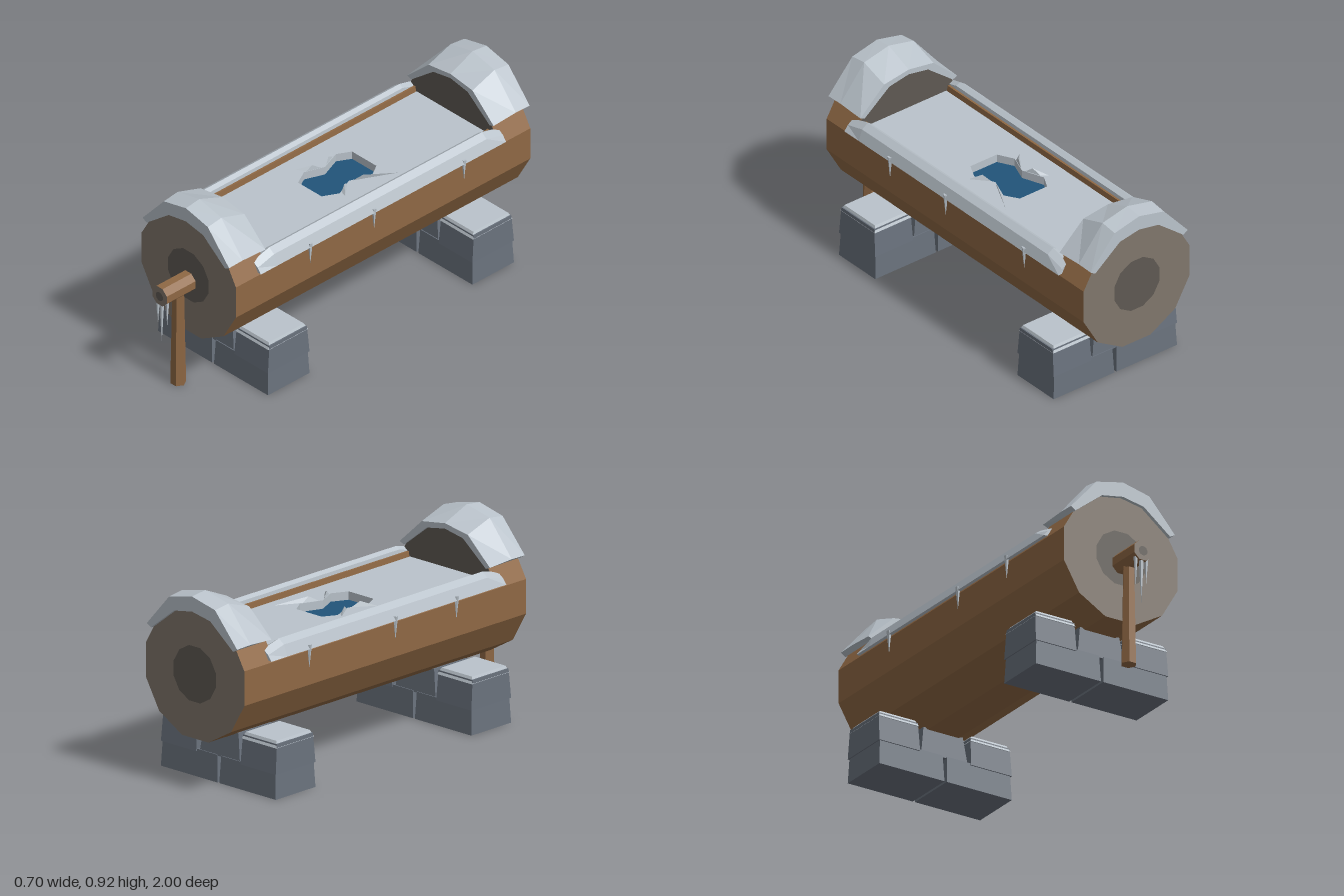
import * as THREE from 'three';
import { ConvexGeometry } from 'three/addons/geometries/ConvexGeometry.js';

const mat = (name, color) => {
  const m = new THREE.MeshStandardMaterial({ color });
  m.name = name;
  return m;
};

// Facet a geometry with flat normals
function flat(geo) {
  const g = geo.index ? geo.toNonIndexed() : geo;
  g.computeVertexNormals();
  return g;
}

// Closed solid through matching cross-sections (counter-clockwise, increasing z)
function loft(sections) {
  const n = sections[0].length, pos = [], idx = [];
  sections.forEach(s => s.forEach(p => pos.push(...p)));
  for (let s = 0; s < sections.length - 1; s++) {
    for (let i = 0; i < n; i++) {
      const a = s * n + i, b = s * n + (i + 1) % n;
      idx.push(a, b, b + n, a, b + n, a + n);
    }
  }
  const last = (sections.length - 1) * n;
  const tris = s => THREE.ShapeUtils.triangulateShape(s.map(p => new THREE.Vector2(p[0], p[1])), []);
  tris(sections[0]).forEach(([a, b, c]) => idx.push(a, c, b));
  tris(sections[sections.length - 1]).forEach(([a, b, c]) => idx.push(last + a, last + b, last + c));
  const g = new THREE.BufferGeometry();
  g.setAttribute('position', new THREE.Float32BufferAttribute(pos, 3));
  g.setIndex(idx);
  return flat(g);
}

// Box whose top is drawn in by tx and tz on each side
function block(x0, x1, y0, y1, z0, z1, tx, tz) {
  const g = new THREE.BoxGeometry(x1 - x0, y1 - y0, z1 - z0);
  const p = g.attributes.position;
  for (let i = 0; i < p.count; i++) {
    if (p.getY(i) > 0) {
      p.setX(i, p.getX(i) - Math.sign(p.getX(i)) * tx);
      p.setZ(i, p.getZ(i) - Math.sign(p.getZ(i)) * tz);
    }
  }
  g.translate((x0 + x1) / 2, (y0 + y1) / 2, (z0 + z1) / 2);
  return flat(g);
}

export function createModel() {
  const root = new THREE.Group();
  root.name = 'frozenLogTrough';
  const wood = mat('wood', 0x8f6844);
  const grain = mat('endGrain', 0x80766b);
  const heart = mat('heartwood', 0x5e5953);
  const snow = mat('snow', 0xbac3cb);
  const stone = mat('stone', 0x69717c);
  const water = mat('water', 0x21547a);
  const add = (name, geo, material, parent = root) => {
    const m = new THREE.Mesh(geo, material);
    m.name = name;
    parent.add(m);
    return m;
  };
  const shape = pts => new THREE.Shape(pts.map(p => new THREE.Vector2(p[0], p[1])));
  const icicle = (x, top, tip, z, r) => {
    const g = new THREE.ConeGeometry(r, top - tip, 5);
    g.rotateX(Math.PI);
    g.translate(x, (top + tip) / 2, z);
    add('icicle', flat(g), snow);
  };

  // Log: twelve-sided, solid at both ends, hollowed between
  const cy = 0.54, R = 0.3106;
  const ring = [];
  for (let i = 0; i < 12; i++) {
    const a = THREE.MathUtils.degToRad(15 + i * 30);
    ring.push([R * Math.cos(a), cy + R * Math.sin(a)]);
  }
  const extrude = (pts, z0, z1) => {
    const g = new THREE.ExtrudeGeometry(shape(pts), { depth: z1 - z0, bevelEnabled: false });
    g.translate(0, 0, z0);
    return g;
  };
  add('frontLogEnd', extrude(ring, 0.63, 0.82), [grain, wood]);
  add('backLogEnd', extrude(ring, -0.98, -0.79), [grain, wood]);
  const trough = [[-0.2686, 0.675], ...ring.slice(5), ring[0], [0.2686, 0.675],
    [0.23, 0.675], [0.22, 0.6], [-0.22, 0.6], [-0.23, 0.675]];
  add('troughBody', extrude(trough, -0.79, 0.63), [grain, wood]);

  // Dark heartwood on the ends and on the inner end walls
  const disc = (name, r, y, z, facing) => {
    const g = new THREE.CircleGeometry(r, 12, Math.PI / 12);
    if (facing < 0) g.rotateY(Math.PI);
    g.translate(0, y, z);
    add(name, g, heart);
  };
  disc('frontHeartwood', 0.133, cy, 0.823, 1);
  disc('backHeartwood', 0.133, cy, -0.983, -1);
  disc('frontInnerWall', R - 0.002, cy, 0.627, -1);
  disc('backInnerWall', R - 0.002, cy, -0.787, 1);

  // Snow caps over the log ends, sloping down towards the trough
  const under = [[-0.25, 0.705], [-0.11, 0.815], [0, 0.835], [0.11, 0.815], [0.25, 0.705]];
  const cap = (z, side, shoulder, top) => [[0.275, side], [0.14, shoulder], [0, top],
    [-0.14, shoulder], [-0.275, side], ...under].map(p => [...p, z]);
  add('frontSnowCap', loft([cap(0.615, 0.715, 0.838, 0.86), cap(0.755, 0.722, 0.884, 0.915),
    cap(0.838, 0.72, 0.873, 0.905)]), snow);
  add('backSnowCap', loft([cap(-1, 0.72, 0.873, 0.905), cap(-0.915, 0.722, 0.884, 0.915),
    cap(-0.78, 0.715, 0.838, 0.857)]), snow);

  // Snow along both rims, with icicles
  const rim = (z, top, side) => {
    const pts = [[0.313, 0.63], [0.293, top - 0.022], [0.262, top], [0.242, top - 0.012],
      [0.238, 0.662], [0.285, 0.632]].map(([x, y]) => [x * side, y, z]);
    return side < 0 ? pts.reverse() : pts;
  };
  for (const side of [1, -1]) {
    add(side > 0 ? 'leftRimSnow' : 'rightRimSnow', loft([rim(-0.82, 0.678, side),
      rim(-0.72, 0.704, side), rim(0.58, 0.704, side), rim(0.68, 0.678, side)]), snow);
    for (const z of [0.37, -0.02, -0.57]) icicle(side * 0.305, 0.65, 0.54, z, 0.012);
  }

  // Frozen surface with a broken hole showing the water
  const sheet = shape([[-0.223, -0.64], [0.223, -0.64], [0.223, 0.79], [-0.223, 0.79]]);
  const hole = [[-0.08, 0.255], [0.075, 0.255], [0.115, 0.19], [0.075, 0.085], [0.118, -0.01],
    [0.08, -0.085], [-0.07, -0.085], [-0.11, -0.01], [-0.075, 0.085], [-0.115, 0.19]];
  sheet.holes.push(new THREE.Path(hole.map(p => new THREE.Vector2(...p))));
  const sheetGeo = new THREE.ExtrudeGeometry(sheet, { depth: 0.055, bevelEnabled: false });
  sheetGeo.rotateX(-Math.PI / 2);
  sheetGeo.translate(0, 0.597, 0);
  add('frozenSurface', sheetGeo, snow);
  const waterGeo = new THREE.BoxGeometry(0.27, 0.008, 0.37);
  waterGeo.translate(0, 0.609, -0.085);
  add('water', waterGeo, water);

  // Lifted shards beside the hole
  const shards = [
    [[-0.078, -0.09], [-0.115, -0.18], [-0.155, -0.21], [-0.1, -0.13]],
    [[-0.078, -0.08], [-0.11, 0.005], [-0.165, 0.04], [-0.1, -0.03]],
    [[0.078, -0.09], [0.115, -0.18], [0.2, -0.33], [0.11, -0.14]],
    [[0.078, -0.08], [0.118, 0.005], [0.165, 0.02], [0.105, -0.03]],
  ];
  for (const s of shards) {
    const pts = s.map(([x, z], i) => new THREE.Vector3(x, i === 3 ? 0.676 : 0.645, z));
    add('iceShard', flat(new ConvexGeometry(pts)), snow);
  }

  // Spout, its open end and supporting post
  const pipe = new THREE.CylinderGeometry(0.05, 0.05, 0.19, 8);
  pipe.rotateY(Math.PI / 8);
  pipe.rotateX(Math.PI / 2);
  pipe.translate(0, 0.512, 0.904);
  const pipeFlat = pipe.toNonIndexed();
  pipe.groups.forEach(g => pipeFlat.addGroup(g.start, g.count, g.materialIndex));
  add('spout', flat(pipeFlat), [wood, grain, grain]);
  disc('spoutOpening', 0.023, 0.51, 1, 1);
  const post = new THREE.CylinderGeometry(0.027, 0.036, 0.48, 6);
  post.rotateY(Math.PI / 6);
  post.translate(0, 0.24, 0.885);
  add('spoutPost', flat(post), wood);
  icicle(-0.028, 0.48, 0.34, 0.982, 0.01);
  icicle(0, 0.475, 0.26, 0.985, 0.012);
  icicle(0.029, 0.48, 0.36, 0.98, 0.01);

  // Stone supports: two wide blocks below, three above, snow on the outer ones
  for (const [name, z] of [['frontSupport', 0.545], ['backSupport', -0.705]]) {
    const g = new THREE.Group();
    g.name = name;
    root.add(g);
    const d = 0.127;
    add('middleStone', block(-0.122, 0.122, 0.12, 0.248, z - d + 0.01, z + d - 0.01, 0.018, 0.01), stone, g);
    for (const side of [1, -1]) {
      const span = (a, b) => side > 0 ? [a, b] : [-b, -a];
      add('lowerStone', block(...span(0.006, 0.35), 0, 0.126, z - d, z + d, 0.006, 0.006), stone, g);
      add('upperStone', block(...span(0.135, 0.35), 0.116, 0.254, z - d, z + d, 0.004, 0.012), stone, g);
      add('stoneSnow', block(...span(0.137, 0.347), 0.236, 0.266, z - 0.121, z + 0.121, 0.012, 0.014), snow, g);
    }
  }
  return root;
}
